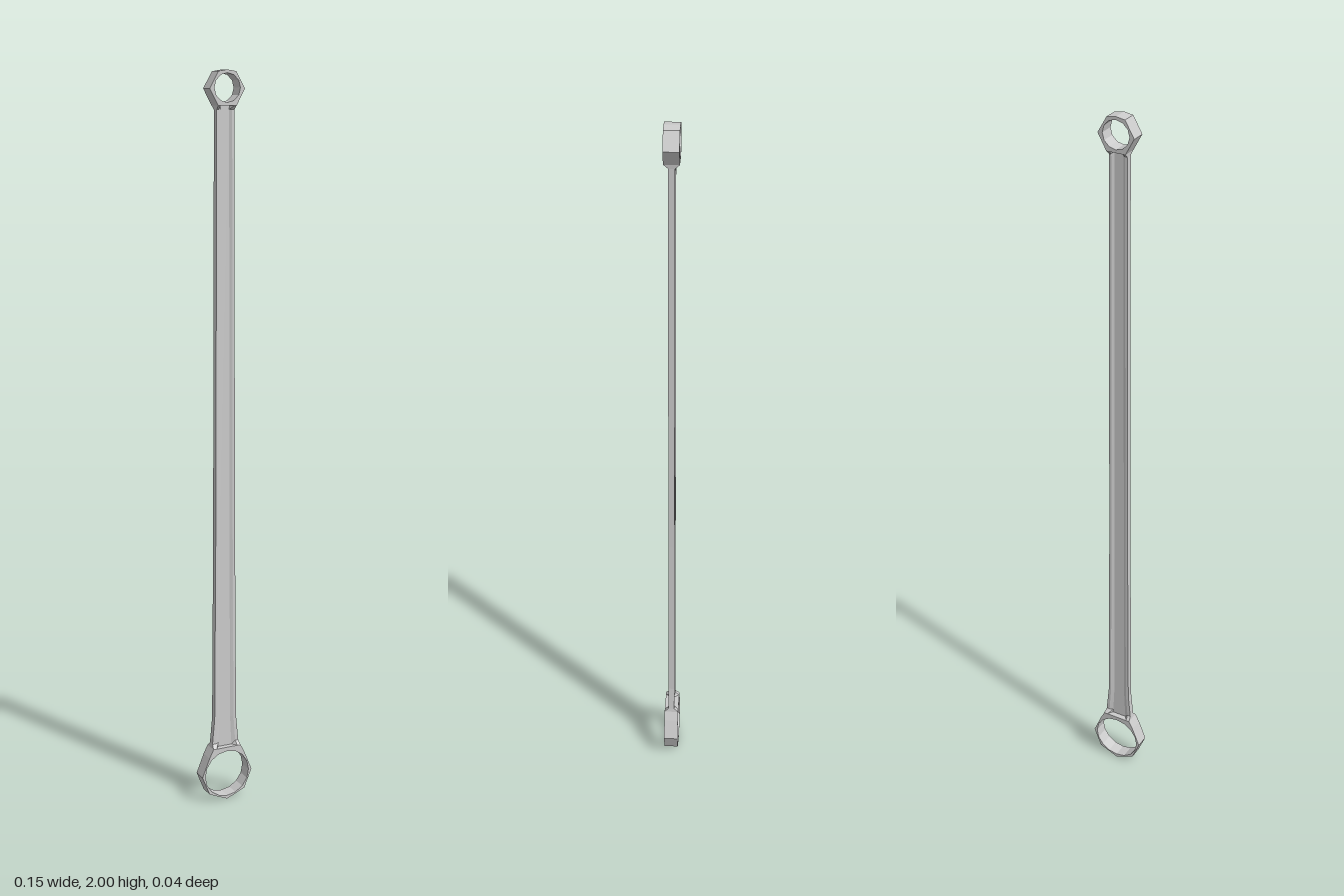
import * as THREE from 'three';

const material = new THREE.MeshStandardMaterial({ color: 0xcccccc, flatShading: true });
const DEPTH = 0.04;

// Eye: the right half of an outline (top to bottom) mirrored, with a faceted bore
function eye(name, half, cy, bore, sides) {
  const left = half.filter(([x]) => x > 0).reverse().map(([x, y]) => [-x, y]);
  const shape = new THREE.Shape([...half, ...left].map(([x, y]) => new THREE.Vector2(x, y)));
  const hole = [];
  for (let i = 0; i < sides; i++) {
    const a = (i / sides) * Math.PI * 2;
    hole.push(new THREE.Vector2(Math.cos(a) * bore, cy + Math.sin(a) * bore));
  }
  shape.holes.push(new THREE.Path(hole));
  const geometry = new THREE.ExtrudeGeometry(shape, { depth: DEPTH, bevelEnabled: false });
  geometry.translate(0, 0, -DEPTH / 2);
  const mesh = new THREE.Mesh(geometry, material);
  mesh.name = name;
  return mesh;
}

// I-beam cross-section, anticlockwise in x and z
function section(w, t) {
  const rim = w * 0.76, root = w * 0.5, web = 0.004;
  return [[w, -t], [w, t], [rim, t], [root, web], [-root, web], [-rim, t],
    [-w, t], [-w, -t], [-rim, -t], [-root, -web], [root, -web], [rim, -t]];
}

// Shank lofted through [height, half width, half thickness]
function shank() {
  const rows = [[0.155, 0.042, 0.02], [0.166, 0.04, 0.0085], [0.24, 0.033, 0.0085],
    [0.77, 0.029, 0.0085], [1.9, 0.025, 0.0085], [1.91, 0.026, 0.02]];
  const positions = [], index = [], n = 12;
  rows.forEach(([y, w, t]) => section(w, t).forEach(([x, z]) => positions.push(x, y, z)));
  for (let r = 0; r < rows.length - 1; r++) {
    for (let i = 0; i < n; i++) {
      const a = r * n + i, b = r * n + (i + 1) % n;
      index.push(a, a + n, b, b, a + n, b + n);
    }
  }
  const indexed = new THREE.BufferGeometry();
  indexed.setAttribute('position', new THREE.Float32BufferAttribute(positions, 3));
  indexed.setIndex(index);
  const geometry = indexed.toNonIndexed();
  geometry.computeVertexNormals();
  const mesh = new THREE.Mesh(geometry, material);
  mesh.name = 'shank';
  return mesh;
}

export function createModel() {
  const group = new THREE.Group();
  group.name = 'connectingRod';
  // Large octagonal eye with shoulders meeting the shank
  group.add(eye('bigEnd',
    [[0.042, 0.155], [0.054, 0.131], [0.076, 0.077], [0.054, 0.023], [0, 0]], 0.077, 0.067, 16));
  // Small eye with a slightly peaked crown
  group.add(eye('smallEnd',
    [[0, 2], [0.025, 1.996], [0.05, 1.953], [0.026, 1.91]], 1.955, 0.037, 12));
  group.add(shank());
  return group;
}
